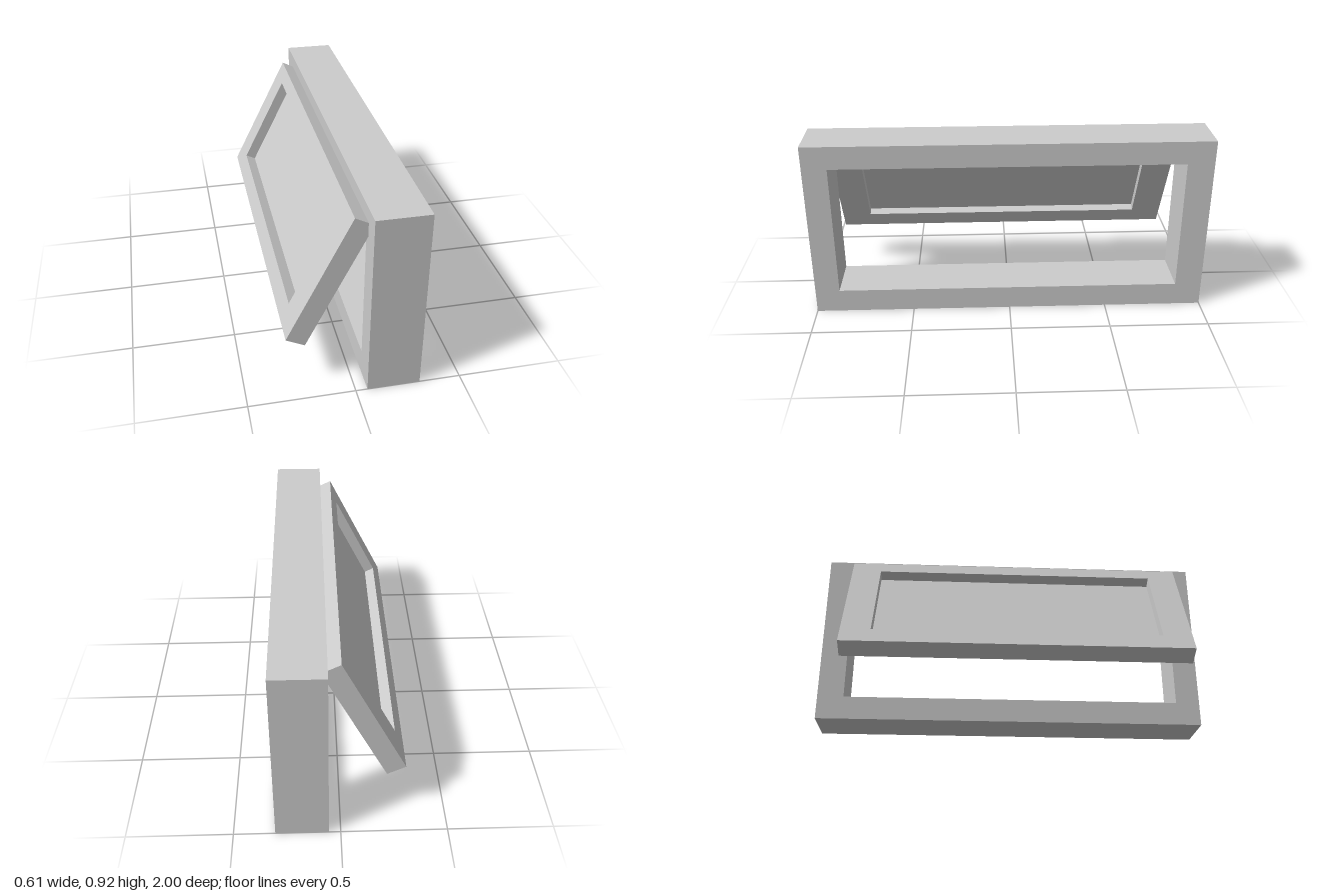
import * as THREE from 'three';

const material = new THREE.MeshStandardMaterial({ color: 0xcccccc, flatShading: true });

// Rectangle outline as [z0, z1, y0, y1]; shape x runs along -z
function rectangle(Type, [z0, z1, y0, y1]) {
  const path = new Type();
  path.moveTo(-z1, y0);
  path.lineTo(-z0, y0);
  path.lineTo(-z0, y1);
  path.lineTo(-z1, y1);
  path.closePath();
  return path;
}

// Rectangular frame extruded along +x from x = 0
function frame(name, outer, inner, depth) {
  const shape = rectangle(THREE.Shape, outer);
  shape.holes.push(rectangle(THREE.Path, inner));
  const geometry = new THREE.ExtrudeGeometry(shape, { depth, bevelEnabled: false });
  geometry.rotateY(Math.PI / 2);
  const mesh = new THREE.Mesh(geometry, material);
  mesh.name = name;
  return mesh;
}

export function createModel() {
  const model = new THREE.Group();
  model.name = 'awningWindow';

  // Fixed outer frame
  const outerFrame = frame('outerFrame', [-1, 1, 0, 0.917], [-0.865, 0.877, 0.12, 0.8], 0.25);
  outerFrame.position.x = 0.055;
  model.add(outerFrame);

  // Sash tilted outwards, hung at the top
  const sash = new THREE.Group();
  sash.name = 'sash';
  sash.position.set(-0.307, 0.275, 0);
  sash.rotation.z = -Math.atan2(0.302, 0.605);
  const opening = [-0.71, 0.757, 0.095, 0.603];
  sash.add(frame('sashFrame', [-0.862, 0.907, 0, 0.676], opening, 0.098));

  // Thin pane set into the sash opening
  const [z0, z1, y0, y1] = opening;
  const pane = new THREE.Mesh(new THREE.BoxGeometry(0.003, y1 - y0, z1 - z0), material);
  pane.name = 'pane';
  pane.position.set(0.057, (y0 + y1) / 2, (z0 + z1) / 2);
  sash.add(pane);

  model.add(sash);
  return model;
}
